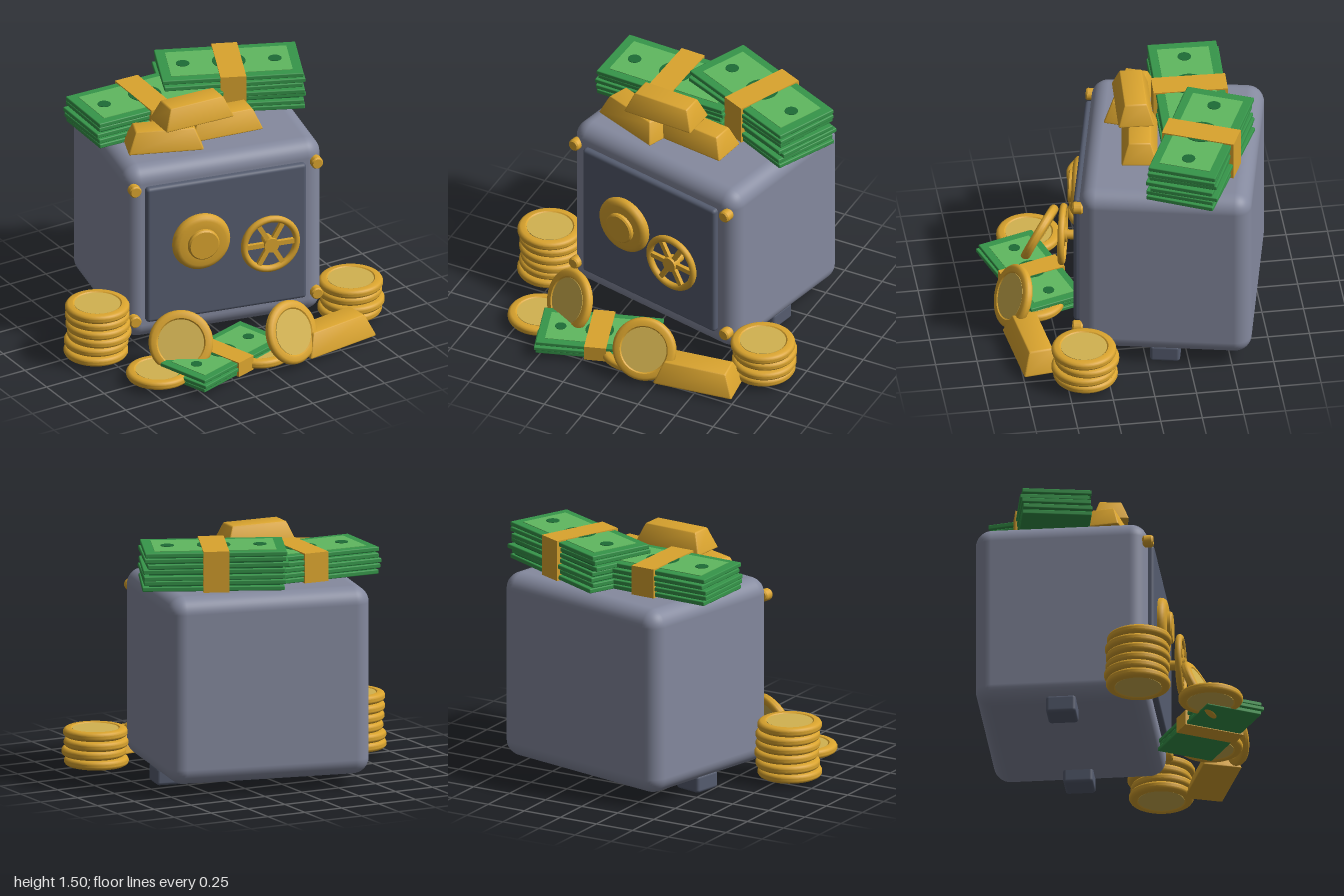
import * as THREE from 'three';
import { toCreasedNormals } from 'three/addons/utils/BufferGeometryUtils.js';
import { RoundedBoxGeometry } from 'three/addons/geometries/RoundedBoxGeometry.js';

const mat = (name, color) => {
  const m = new THREE.MeshStandardMaterial({ color });
  m.name = name;
  return m;
};

export function createModel() {
  const steel = mat('steel', 0x858a9f);
  const darkSteel = mat('darkSteel', 0x565d70);
  const gold = mat('gold', 0xdaa42e);
  const paleGold = mat('paleGold', 0xd2b250);
  const green = mat('billGreen', 0x36964a);
  const lightGreen = mat('billLightGreen', 0x60b85f);
  const darkGreen = mat('billDarkGreen', 0x1d6c36);

  const root = new THREE.Group();
  root.name = 'safeWithTreasure';

  const group = (name, parent, x = 0, y = 0, z = 0, ry = 0) => {
    const g = new THREE.Group();
    g.name = name;
    g.position.set(x, y, z);
    g.rotation.y = ry;
    parent.add(g);
    return g;
  };
  const add = (name, parent, geo, material, x = 0, y = 0, z = 0) => {
    const m = new THREE.Mesh(geo, material);
    m.name = name;
    m.position.set(x, y, z);
    parent.add(m);
    return m;
  };
  const lathe = (pts, seg = 40) => toCreasedNormals(
    new THREE.LatheGeometry(pts.map(p => new THREE.Vector2(p[0], p[1])), seg), 0.6);

  // small seeded jitter in -1..1
  let seed = 11;
  const jitter = () => {
    seed = (seed * 16807) % 2147483647;
    return (seed / 2147483647) * 2 - 1;
  };

  // ---- Safe ----
  const safe = group('safe', root, 0.085, 0, -0.23, -0.21);
  add('safeBody', safe, new RoundedBoxGeometry(1.25, 1.145, 1.03, 5, 0.1), steel, 0, 0.653, 0);
  for (const s of [-1, 1])
    add('foot', safe, new RoundedBoxGeometry(0.18, 0.11, 0.18, 2, 0.02), darkSteel, s * 0.5, 0.055, 0);
  add('door', safe, new RoundedBoxGeometry(1.01, 0.9, 0.08, 3, 0.022), darkSteel, 0, 0.66, 0.512);

  // corner bolts
  const boltGeo = lathe([[0, -0.035], [0.03, -0.035], [0.037, -0.025], [0.037, 0.018],
    [0.03, 0.028], [0, 0.028]], 20).rotateX(Math.PI / 2);
  for (const x of [-0.573, 0.573])
    for (const y of [0.225, 1.1]) add('bolt', safe, boltGeo, gold, x, y, 0.525);

  // combination dial
  const dialGeo = lathe([[0, -0.02], [0.16, -0.02], [0.175, -0.012], [0.182, 0.008], [0.178, 0.028],
    [0.165, 0.042], [0.145, 0.048], [0.097, 0.048], [0.097, 0.066], [0.088, 0.075], [0, 0.075]])
    .rotateX(Math.PI / 2);
  add('dial', safe, dialGeo, gold, -0.168, 0.715, 0.555);

  // handwheel
  const wheel = group('handwheel', safe, 0.245, 0.66, 0.635);
  add('wheelRim', wheel, new THREE.TorusGeometry(0.165, 0.021, 12, 44), gold);
  for (let i = 0; i < 3; i++) {
    const spoke = add('spoke', wheel, new THREE.BoxGeometry(0.32, 0.03, 0.024), gold);
    spoke.rotation.z = i * Math.PI / 3;
  }
  add('hub', wheel, new THREE.CylinderGeometry(0.046, 0.046, 0.055, 24).rotateX(Math.PI / 2), gold);
  add('axle', wheel, new THREE.CylinderGeometry(0.03, 0.03, 0.1, 16).rotateX(Math.PI / 2), gold, 0, 0, -0.05);

  // ---- Coins ----
  const coinGeo = lathe([[0, -0.019], [0.138, -0.019], [0.146, -0.027], [0.174, -0.027], [0.186, -0.02],
    [0.193, -0.008], [0.193, 0.008], [0.186, 0.02], [0.174, 0.027], [0.146, 0.027], [0.138, 0.019], [0, 0.019]]);
  const faceGeo = new THREE.CylinderGeometry(0.138, 0.138, 0.046, 40);
  const coin = (parent, x, y, z) => {
    const g = group('coin', parent, x, y, z);
    add('coinRim', g, coinGeo, gold);
    add('coinFace', g, faceGeo, paleGold);
    return g;
  };
  const coinStack = (name, x, z, n) => {
    const g = group(name, root, x, 0.03, z);
    for (let i = 0; i < n; i++) coin(g, jitter() * 0.013, 0.028 + i * 0.0575, jitter() * 0.013);
  };
  coinStack('tallCoinStack', -0.79, 0.08, 6);
  coinStack('shortCoinStack', 0.787, 0.39, 4);
  coin(root, -0.64, 0.058, 0.53);
  coin(root, 0.02, 0.055, 0.6);

  // leaning coins
  const up = new THREE.Vector3(0, 1, 0);
  const leaningCoin = (x, y, z, nx, ny, nz) => coin(root, x, y, z)
    .quaternion.setFromUnitVectors(up, new THREE.Vector3(nx, ny, nz).normalize());
  leaningCoin(-0.46, 0.195, 0.49, -0.44, 0.4, 0.8);
  leaningCoin(0.16, 0.205, 0.735, 0.23, 0.4, 0.89);

  // ---- Gold bars: rounded boxes narrowed towards the top ----
  const barGeo = new RoundedBoxGeometry(0.46, 0.13, 0.22, 2, 0.01);
  const p = barGeo.attributes.position;
  for (let i = 0; i < p.count; i++) {
    const t = p.getY(i) / 0.13 + 0.5;
    p.setX(i, p.getX(i) * (1 - 0.23 * t));
    p.setZ(i, p.getZ(i) * (1 - 0.4 * t));
  }
  const smoothBar = toCreasedNormals(barGeo, 0.5);
  const bar = (x, y, z, ry, s = 1) => {
    const m = add('goldBar', root, smoothBar, gold, x, y + 0.065 * s, z);
    m.rotation.y = ry;
    m.scale.setScalar(s);
  };
  bar(-0.268, 1.24, -0.028, -0.376);
  bar(0.134, 1.24, -0.03, -0.14);
  bar(-0.075, 1.374, -0.02, -0.05);
  bar(0.485, 0.03, 0.665, 0.13, 1.09);

  // ---- Banknote bundles ----
  const bundle = (x, y, z, ry, n, s = 1) => {
    const g = group('banknoteBundle', root, x, y, z, ry);
    g.scale.setScalar(s);
    const pitch = 0.0345, h = n * pitch;
    for (let i = 0; i < n; i++) {
      const last = i === n - 1;
      const bill = add('billLayer', g, new RoundedBoxGeometry(0.85, 0.028, 0.415, 1, 0.006), green,
        last ? 0 : jitter() * 0.014, (i + 0.5) * pitch, last ? 0 : jitter() * 0.01);
      bill.rotation.y = last ? 0 : jitter() * 0.03;
    }
    // thin core joining the layers
    add('bundleCore', g, new THREE.BoxGeometry(0.8, h - 0.02, 0.37), darkGreen, 0, h / 2, 0);
    // printed top face
    const top = h - 0.003;
    add('billPanel', g, new THREE.BoxGeometry(0.73, 0.006, 0.31), lightGreen, 0, top, 0);
    for (const [cx, r] of [[-0.277, 0.04], [0, 0.1], [0.277, 0.04]])
      add('billMark', g, new THREE.CylinderGeometry(r, r, 0.006, 28), darkGreen, cx, top + 0.003, 0);
    add('paperBand', g, new THREE.BoxGeometry(0.155, h + 0.008, 0.445), gold, 0, h / 2 + 0.002, 0);
  };
  bundle(-0.19, 1.235, -0.375, -0.03, 5);
  bundle(0.39, 1.235, -0.365, -0.417, 7);
  bundle(-0.22, 0.025, 0.572, 0.31, 3, 0.85);

  return root;
}
